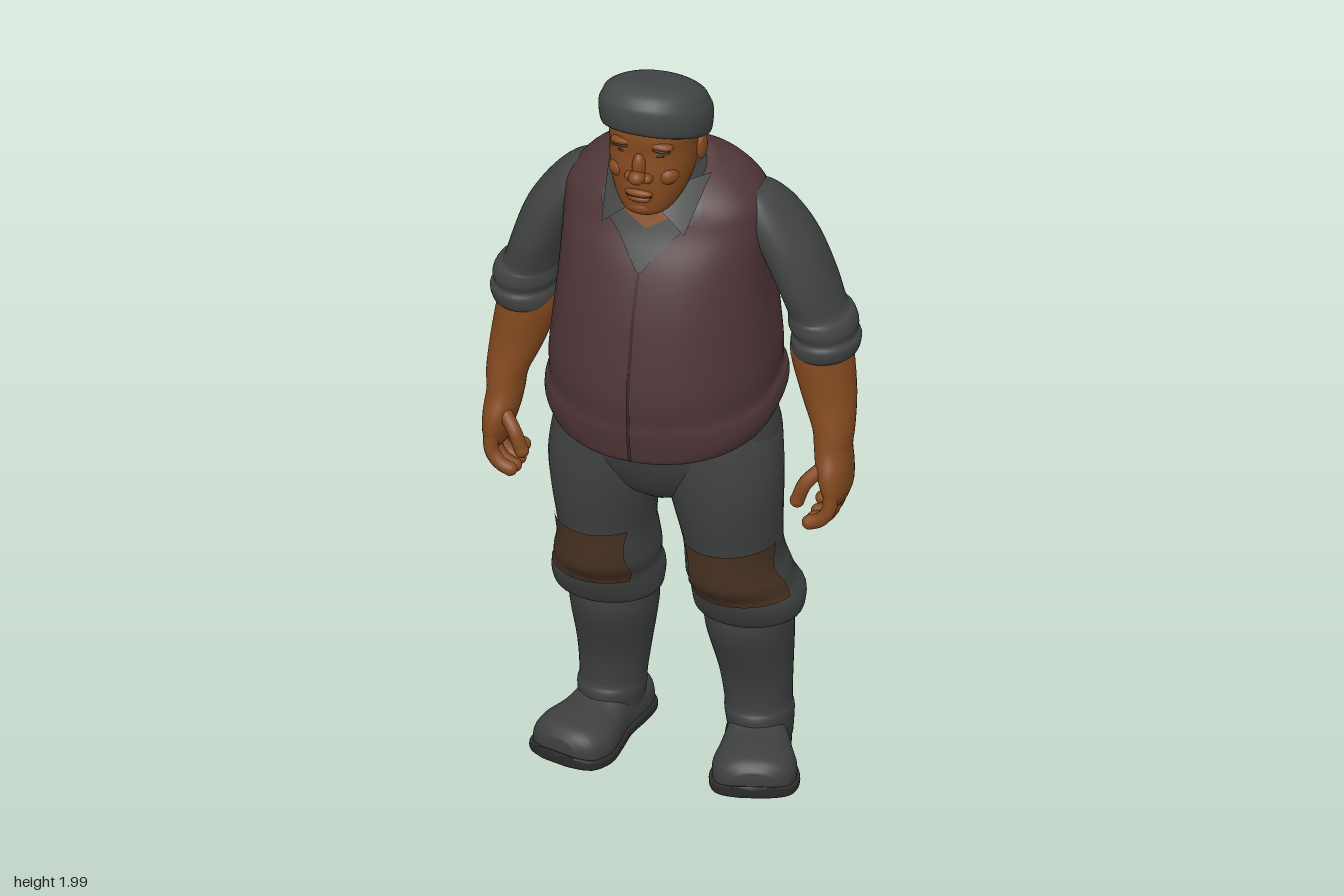
import * as THREE from 'three';

const mat = (name, color, side = THREE.FrontSide) => {
  const m = new THREE.MeshStandardMaterial({ color, side });
  m.name = name;
  return m;
};

// Row: [y, centreX, halfWidth, centreZ, frontDepth, backDepth, tilt]
const sample = (rows, t) => {
  const n = rows.length - 1, i = Math.min(Math.floor(t), n - 1), f = t - i;
  const at = (k, j) => rows[Math.max(0, Math.min(n, k))][j] ?? 0;
  return [0, 1, 2, 3, 4, 5, 6].map((j) => {
    const a = at(i - 1, j), b = at(i, j), c = at(i + 1, j), d = at(i + 2, j);
    return b + 0.5 * f * (c - a + f * (2 * a - 5 * b + 4 * c - d + f * (3 * (b - c) + d - a)));
  });
};
const pw = (v, e) => Math.sign(v) * Math.pow(Math.abs(v), e);

// Smooth skin over stacked sections; half() limits it to a patch around angle mid
function loft(rows, { side = 1, ef = 1, eb = 1, seg = 36, steps = 4, t0 = 0, t1 = rows.length - 1,
  half = null, mid = 0, out = 0 } = {}) {
  const pos = [], idx = [], closed = !half;
  const nv = Math.max(1, Math.round((t1 - t0) * steps)), w = closed ? seg : seg + 1;
  const tri = (a, b, c) => (side > 0 ? idx.push(a, b, c) : idx.push(a, c, b));
  for (let j = 0; j <= nv; j++) {
    const [y, cx, rx, cz, rf, rb, tilt] = sample(rows, t0 + ((t1 - t0) * j) / nv);
    for (let i = 0; i < w; i++) {
      const h = closed ? Math.PI : half(j / nv);
      const a = mid - h + (2 * h * i) / seg, c = Math.cos(a), e = c > 0 ? ef : eb;
      const dz = ((c > 0 ? rf : rb) + out) * pw(c, e);
      pos.push(side * (cx + (rx + out) * pw(Math.sin(a), e)), y - tilt * dz, cz + dz);
    }
  }
  for (let j = 0; j < nv; j++) for (let i = 0; i < seg; i++) {
    const p = j * w + i, q = j * w + ((i + 1) % w);
    tri(p, q, q + w); tri(p, q + w, p + w);
  }
  if (closed) for (const top of [0, 1]) {
    const r = sample(rows, top ? t1 : t0), c = pos.length / 3, o = top * nv * w;
    pos.push(side * r[1], r[0], r[3]);
    for (let i = 0; i < w; i++) {
      const k = o + ((i + 1) % w);
      if (top) tri(c, o + i, k); else tri(c, k, o + i);
    }
  }
  const g = new THREE.BufferGeometry();
  g.setAttribute('position', new THREE.Float32BufferAttribute(pos, 3));
  g.setIndex(idx);
  g.computeVertexNormals();
  return g;
}

const TORSO = [
  [1.035, 0, 0.255, 0, 0.235, 0.215, 0.16], [1.045, 0, 0.272, 0, 0.25, 0.24, 0.16],
  [1.08, 0, 0.288, 0, 0.258, 0.25, 0.15], [1.115, 0, 0.286, 0, 0.264, 0.245, 0.12],
  [1.14, 0, 0.276, 0, 0.264, 0.234, 0.1], [1.2, 0, 0.277, 0, 0.268, 0.232, 0.06],
  [1.3, 0, 0.267, 0, 0.25, 0.235, 0], [1.4, 0, 0.257, 0, 0.226, 0.235, 0],
  [1.5, 0, 0.251, 0, 0.188, 0.22, 0], [1.58, 0, 0.25, -0.01, 0.155, 0.19, 0.05],
  [1.635, 0, 0.24, -0.01, 0.135, 0.16, 0.15], [1.68, 0, 0.19, 0, 0.115, 0.125, 0.35],
  [1.71, 0, 0.12, 0.01, 0.09, 0.08, 0.5]];
const PELVIS = [
  [0.79, 0, 0.05, -0.02, 0.07, 0.08], [0.83, 0, 0.15, -0.02, 0.12, 0.13],
  [0.9, 0, 0.255, -0.02, 0.16, 0.175], [0.97, 0, 0.275, -0.02, 0.185, 0.2],
  [1.04, 0, 0.265, -0.01, 0.19, 0.215], [1.1, 0, 0.25, 0, 0.18, 0.21]];
const LEG = [
  [0.43, 0.178, 0.112, -0.11, 0.1, 0.1], [0.445, 0.178, 0.132, -0.105, 0.115, 0.125],
  [0.49, 0.178, 0.137, -0.1, 0.135, 0.148], [0.53, 0.172, 0.126, -0.08, 0.13, 0.15],
  [0.57, 0.165, 0.125, -0.07, 0.15, 0.14], [0.62, 0.16, 0.118, -0.055, 0.147, 0.138],
  [0.68, 0.16, 0.119, -0.04, 0.142, 0.125], [0.78, 0.155, 0.132, -0.02, 0.145, 0.135],
  [0.88, 0.146, 0.144, -0.01, 0.15, 0.155], [0.98, 0.135, 0.14, -0.02, 0.165, 0.185],
  [1.04, 0.125, 0.12, -0.02, 0.16, 0.18]];
const SHAFT = [
  [0.06, 0.19, 0.076, -0.16, 0.09, 0.085], [0.13, 0.187, 0.084, -0.158, 0.095, 0.083],
  [0.16, 0.184, 0.082, -0.157, 0.084, 0.083], [0.25, 0.179, 0.091, -0.152, 0.088, 0.088],
  [0.38, 0.172, 0.108, -0.13, 0.112, 0.11], [0.46, 0.172, 0.11, -0.12, 0.1, 0.1]];
// Foot sections run heel to toe; third and later values are width, height, drop, rise
const FOOT = [
  [-0.115, 0, 0.035, -0.07, 0.025, 0.04], [-0.1, 0, 0.062, -0.07, 0.032, 0.06],
  [-0.05, 0, 0.073, -0.065, 0.032, 0.07], [0.02, 0, 0.075, -0.06, 0.034, 0.085],
  [0.08, 0, 0.09, -0.05, 0.032, 0.068], [0.14, 0, 0.103, -0.045, 0.03, 0.066],
  [0.195, 0, 0.088, -0.045, 0.028, 0.055], [0.22, 0, 0.045, -0.045, 0.02, 0.03]];
const SOLE = FOOT.map(([l, x, w, z, d]) => [l * 1.03, x, w + 0.007, z + d - 0.006, 0.018, 0.014]);
const SLEEVE = [
  [1.205, 0.376, 0.06, -0.085, 0.07, 0.07], [1.212, 0.379, 0.079, -0.085, 0.092, 0.092],
  [1.245, 0.382, 0.084, -0.083, 0.1, 0.1], [1.262, 0.38, 0.077, -0.083, 0.093, 0.094],
  [1.285, 0.376, 0.083, -0.082, 0.1, 0.1], [1.312, 0.37, 0.078, -0.081, 0.098, 0.1],
  [1.328, 0.36, 0.069, -0.08, 0.094, 0.098], [1.4, 0.337, 0.069, -0.075, 0.105, 0.107],
  [1.5, 0.297, 0.072, -0.065, 0.1, 0.11], [1.58, 0.25, 0.068, -0.06, 0.09, 0.1],
  [1.635, 0.222, 0.045, -0.05, 0.06, 0.07], [1.655, 0.21, 0.02, -0.05, 0.03, 0.03]];
const FOREARM = [
  [0.835, 0.43, 0.022, -0.025, 0.055, 0.06], [0.87, 0.43, 0.034, -0.025, 0.072, 0.076],
  [0.92, 0.423, 0.042, -0.03, 0.075, 0.075], [0.97, 0.416, 0.045, -0.038, 0.062, 0.062],
  [1.02, 0.414, 0.051, -0.045, 0.06, 0.062], [1.1, 0.395, 0.067, -0.065, 0.068, 0.075],
  [1.2, 0.373, 0.076, -0.08, 0.083, 0.085], [1.25, 0.37, 0.07, -0.08, 0.08, 0.08]];
const HEAD = [
  [1.648, 0, 0.035, 0.125, 0.04, 0.05], [1.662, 0, 0.06, 0.115, 0.07, 0.07],
  [1.69, 0, 0.08, 0.1, 0.09, 0.085], [1.73, 0, 0.096, 0.085, 0.107, 0.105],
  [1.775, 0, 0.104, 0.075, 0.116, 0.12], [1.82, 0, 0.106, 0.07, 0.114, 0.125],
  [1.87, 0, 0.108, 0.065, 0.12, 0.12], [1.93, 0, 0.09, 0.065, 0.1, 0.1]];
const NECK = [[1.58, 0, 0.085, 0.02, 0.105, 0.08], [1.66, 0, 0.075, 0.03, 0.08, 0.075],
  [1.76, 0, 0.08, 0.045, 0.08, 0.085]];
const CAP = [
  [1.832, 0, 0.105, 0.06, 0.118, 0.11, -0.38], [1.836, 0, 0.128, 0.06, 0.138, 0.132, -0.38],
  [1.87, 0, 0.136, 0.06, 0.145, 0.141, -0.34], [1.905, 0, 0.136, 0.062, 0.142, 0.142, -0.3],
  [1.925, 0, 0.129, 0.064, 0.132, 0.137, -0.3], [1.95, 0, 0.115, 0.066, 0.11, 0.122, -0.3],
  [1.97, 0, 0.075, 0.068, 0.075, 0.08, -0.28], [1.974, 0, 0.02, 0.068, 0.02, 0.02, -0.25]];

export function createModel() {
  const skin = mat('skin', 0x83491f), vest = mat('vest wool', 0x4f3537), seam = mat('vest seam', 0x3a2628);
  const shirt = mat('shirt cloth', 0x434545, THREE.DoubleSide), trousers = mat('trouser cloth', 0x414242);
  const leather = mat('boot leather', 0x3e3f3f), soleMat = mat('boot sole', 0x2b2b2b);
  const patch = mat('knee patch', 0x4b3424), cap = mat('cap wool', 0x454848), dark = mat('dark features', 0x3a2012);
  const model = new THREE.Group();
  const add = (name, geo, m) => {
    const mesh = new THREE.Mesh(geo, m);
    mesh.name = name;
    model.add(mesh);
    return mesh;
  };
  const blob = (name, m, x, y, z, sx, sy, sz, roll = 0) => {
    const b = add(name, new THREE.SphereGeometry(1, 20, 14), m);
    b.position.set(x, y, z);
    b.scale.set(sx, sy, sz);
    b.rotation.z = roll;
  };
  const finger = (name, pts, r) => {
    const c = new THREE.CatmullRomCurve3(pts.map((p) => new THREE.Vector3(...p)));
    add(name, new THREE.TubeGeometry(c, 10, r, 10), skin);
    blob(name + 'Tip', skin, ...pts[pts.length - 1], r, r, r);
  };

  // Torso, neckline and front opening
  const body = { ef: 0.95, eb: 0.7, seg: 56 };
  add('vest', loft(TORSO, body), vest);
  add('shirtFront', loft(TORSO, { ...body, seg: 20, t0: 8, half: (u) => 0.02 + 0.9 * u, out: 0.004 }), shirt);
  add('openNeck', loft(TORSO, { ...body, seg: 16, t0: 9.5, half: (u) => 0.01 + 0.6 * u, out: 0.007 }), skin);
  add('vestOpening', loft(TORSO, { ...body, seg: 2, t0: 1, t1: 8, half: () => 0.012, out: 0.003 }), seam);
  add('backTab', new THREE.BoxGeometry(0.05, 0.025, 0.02), vest).position.set(0, 1.12, -0.245);
  add('trouserSeat', loft(PELVIS, { eb: 0.85 }), trousers);

  // Collar band
  const band = new THREE.CylinderGeometry(0.093, 0.118, 0.045, 32, 1, true, 0.85, Math.PI * 2 - 1.7);
  band.scale(1, 1, 0.85).rotateX(0.42).translate(0, 1.715, 0.012);
  add('collarBand', band, shirt);

  // Head and face
  add('neck', loft(NECK), skin);
  add('head', loft(HEAD, { ef: 0.9, eb: 0.9 }), skin);
  add('cap', loft(CAP, { ef: 0.95, eb: 0.95, seg: 44 }), cap);
  blob('noseBridge', skin, 0, 1.795, 0.188, 0.017, 0.035, 0.018);
  blob('noseTip', skin, 0, 1.772, 0.202, 0.021, 0.018, 0.023);
  blob('upperLip', skin, 0, 1.722, 0.188, 0.035, 0.011, 0.014);
  blob('mouthLine', dark, 0, 1.715, 0.19, 0.034, 0.003, 0.01);
  blob('lowerLip', skin, 0, 1.706, 0.186, 0.03, 0.01, 0.014);
  blob('chin', skin, 0, 1.676, 0.17, 0.035, 0.02, 0.022);

  for (const s of [1, -1]) {
    const side = s > 0 ? 'left' : 'right';
    // Face pairs
    blob(side + 'Nostril', skin, s * 0.021, 1.766, 0.189, 0.015, 0.013, 0.017);
    blob(side + 'Cheek', skin, s * 0.058, 1.765, 0.15, 0.03, 0.026, 0.03);
    blob(side + 'BrowRidge', skin, s * 0.045, 1.85, 0.165, 0.035, 0.012, 0.02, -s * 0.1);
    blob(side + 'Eyebrow', dark, s * 0.047, 1.84, 0.172, 0.028, 0.005, 0.012, -s * 0.12);
    blob(side + 'Eye', dark, s * 0.043, 1.823, 0.169, 0.016, 0.004, 0.009);
    blob(side + 'Ear', skin, s * 0.11, 1.795, 0.045, 0.013, 0.036, 0.024);

    // Collar flap
    const flap = new THREE.BufferGeometry();
    flap.setAttribute('position', new THREE.Float32BufferAttribute([
      s * 0.078, 1.71, 0.085, s * 0.13, 1.715, 0.03, s * 0.105, 1.605, 0.16, s * 0.045, 1.65, 0.145], 3));
    flap.setIndex(s > 0 ? [0, 3, 2, 0, 2, 1] : [0, 2, 3, 0, 1, 2]);
    flap.computeVertexNormals();
    add(side + 'CollarFlap', flap, shirt);

    // Arm and hand
    add(side + 'Sleeve', loft(SLEEVE, { side: s }), shirt);
    add(side + 'Forearm', loft(FOREARM, { side: s }), skin);
    for (let i = 0; i < 4; i++) {
      const z = 0.03 - i * 0.033, drop = [0.005, -0.003, 0, 0.018][i];
      finger(side + 'Finger', [[s * 0.432, 0.87, z], [s * 0.428, 0.822 + drop, z + 0.002],
        [s * 0.405, 0.793 + drop, z + 0.005], [s * 0.38, 0.783 + drop, z + 0.006]], 0.018);
    }
    finger(side + 'Thumb', [[s * 0.405, 0.93, 0.01], [s * 0.37, 0.895, 0.035], [s * 0.35, 0.845, 0.038]], 0.018);

    // Trouser leg with knee patch
    add(side + 'TrouserLeg', loft(LEG, { side: s, eb: 0.95 }), trousers);
    add(side + 'KneePatch', loft(LEG, { side: s, eb: 0.95, seg: 20, t0: 2.7, t1: 6.1, mid: 0.28,
      half: (u) => 1.02 + 0.06 * Math.sin(7 * u), out: 0.005 }), patch);

    // Boot, turned slightly outwards
    add(side + 'BootShaft', loft(SHAFT, { side: s }), leather);
    const place = (g) => g.rotateX(Math.PI / 2).rotateY(s * 0.28).translate(s * 0.188, 0, -0.14);
    add(side + 'BootFoot', place(loft(FOOT, { side: s, ef: 0.5, eb: 0.85 })), leather);
    add(side + 'BootSole', place(loft(SOLE, { side: s, ef: 0.4, eb: 0.4 })), soleMat);
  }
  return model;
}
